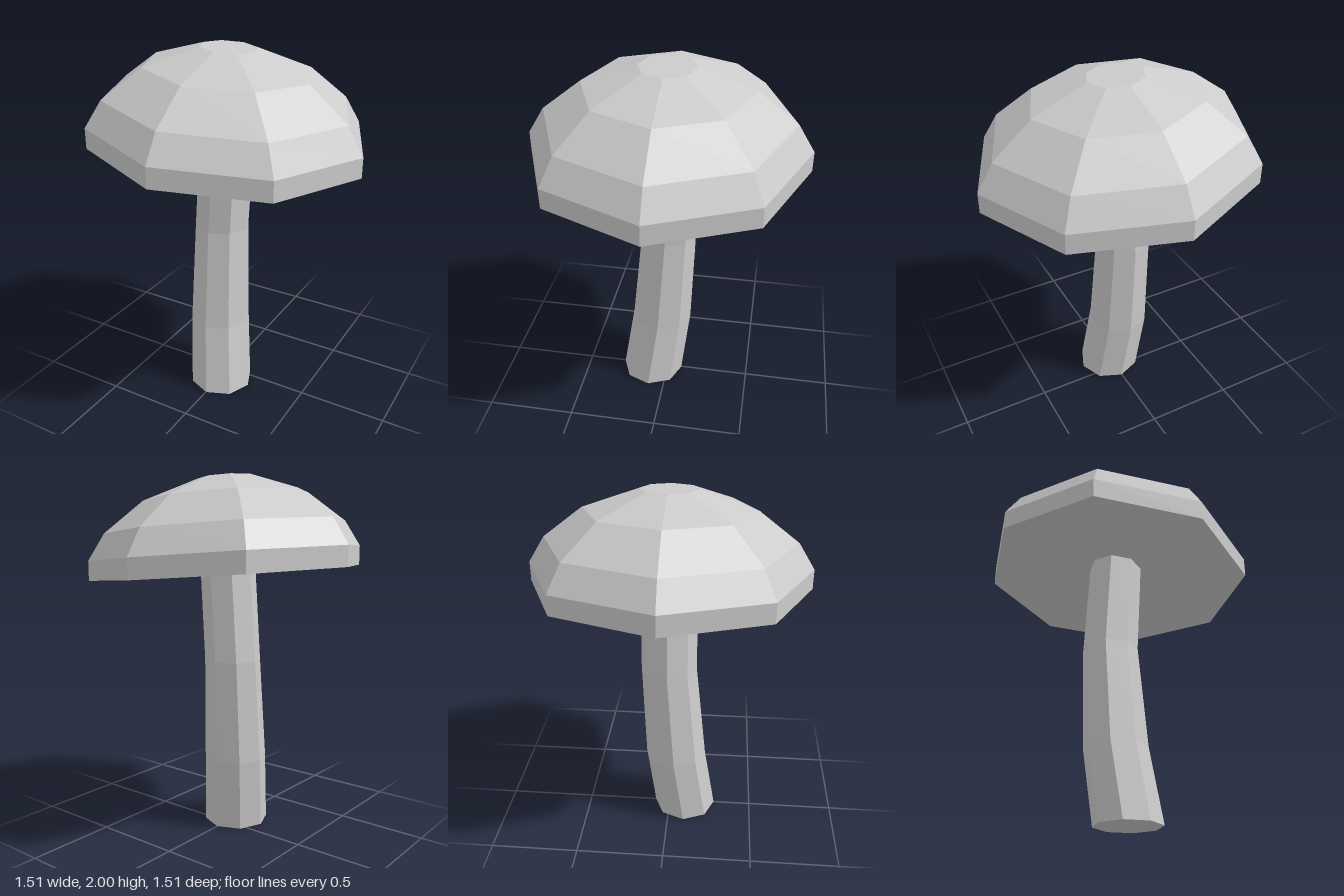
import * as THREE from 'three';

const SIDES = 8;
const material = new THREE.MeshStandardMaterial({ color: 0xcccccc, flatShading: true });

// Eight-sided lathe from [radius, height] pairs, with each vertex moved by a rule
function facetedLathe(name, profile, move) {
  const points = profile.map(([r, y]) => new THREE.Vector2(r, y));
  const geometry = new THREE.LatheGeometry(points, SIDES);
  const pos = geometry.attributes.position;
  const v = new THREE.Vector3();
  for (let i = 0; i < pos.count; i++) {
    v.fromBufferAttribute(pos, i);
    move(v, i % profile.length);
    pos.setXYZ(i, v.x, v.y, v.z);
  }
  geometry.computeVertexNormals();
  const mesh = new THREE.Mesh(geometry, material);
  mesh.name = name;
  return mesh;
}

export function createModel() {
  const group = new THREE.Group();
  group.name = 'mushroom';

  // Bent stem: radius, height and centre (x, z) of each cross-section
  const rings = [
    { r: 0, y: 0, x: 0.003, z: 0.095 },
    { r: 0.183, y: 0, x: 0.003, z: 0.095 },
    { r: 0.175, y: 0.41, x: -0.034, z: 0.04 },
    { r: 0.156, y: 0.99, x: -0.043, z: 0 },
    { r: 0.153, y: 1.56, x: -0.006, z: 0 },
    { r: 0, y: 1.56, x: -0.006, z: 0 },
  ];
  group.add(facetedLathe('stem', rings.map(({ r, y }) => [r, y]), (v, ring) => {
    v.x += rings[ring].x;
    v.z += rings[ring].z;
  }));

  // Cap: shallow hollow underside, upright rim and domed top, sloping down to +x
  const capProfile = [
    [0, 1.55], [0.67, 1.49], [0.757, 1.472],
    [0.757, 1.58], [0.668, 1.722], [0.455, 1.885], [0.154, 1.989], [0, 1.989],
  ];
  group.add(facetedLathe('cap', capProfile, (v) => {
    v.y -= 0.074 * v.x;
  }));

  return group;
}
